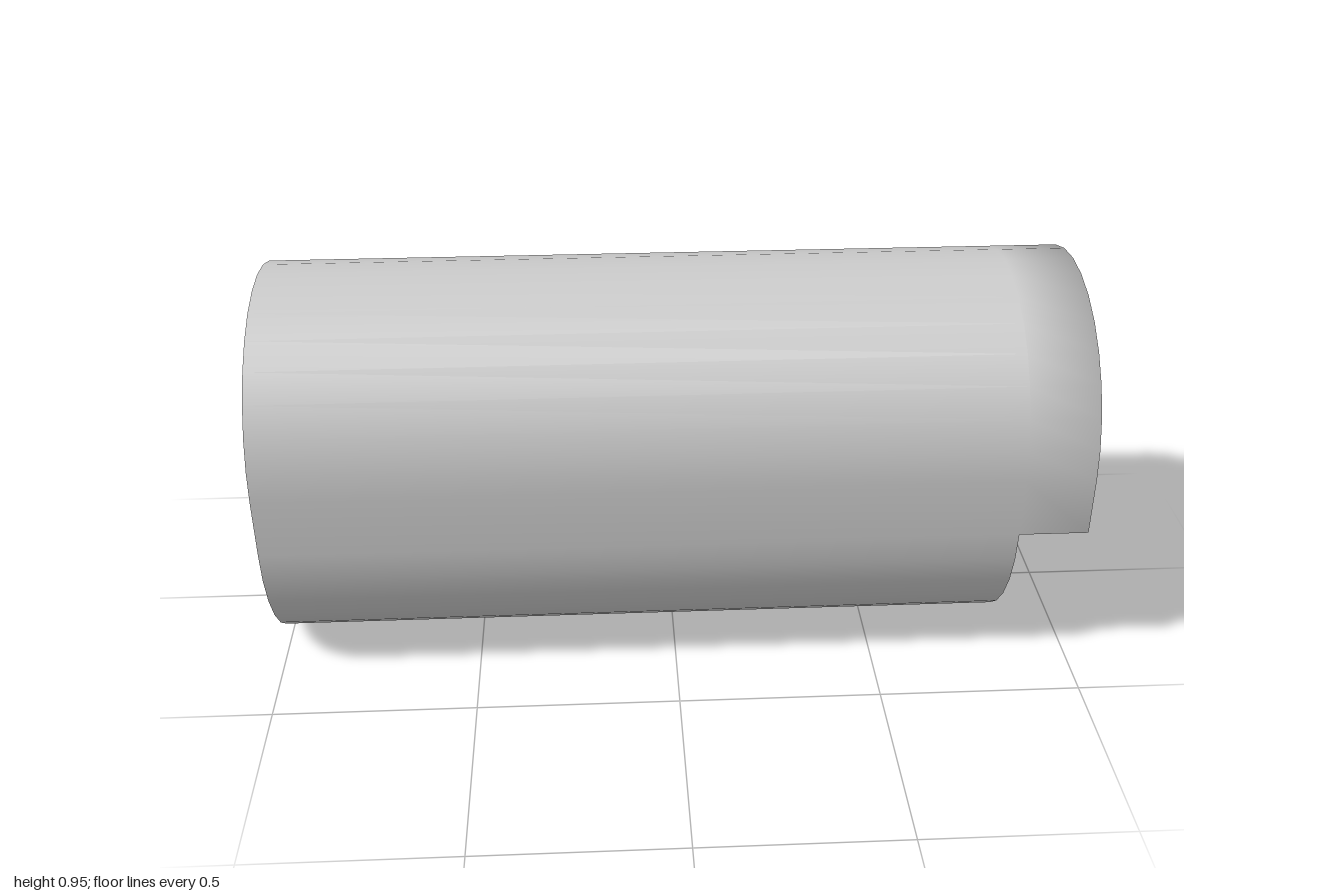
import * as THREE from 'three';
import { mergeVertices } from 'three/addons/utils/BufferGeometryUtils.js';

const LOW = 0.4, HIGH = 0.55, R = 0.4;      // centres and radius of the rounded section
const BACK = -1, LIP = 0.83, TIP = 1;       // positions along the length
const STEPS = 16;

// Columns around the section: lower half ends at the lip, upper half runs out to the hood tip
function makeColumns() {
  const columns = [];
  for (let i = 0; i <= STEPS; i++) columns.push({ a: Math.PI * (1 + i / STEPS), base: LOW, hood: false });
  columns.push({ a: 0, base: LOW, hood: true });
  for (let i = 0; i <= STEPS; i++) columns.push({ a: Math.PI * i / STEPS, base: HIGH, hood: true });
  columns.push({ a: Math.PI, base: LOW, hood: true });
  return columns;
}

const ringPoint = (x, a, r, base) => [x, base + r * Math.sin(a), -r * Math.cos(a)];

// Loops from the back, over the front rim, down into the pocket
function shellGeometry(columns) {
  const loops = [
    c => ringPoint(BACK, c.a, R, c.base),
    c => ringPoint(LIP, c.a, R, c.base),
    c => ringPoint(c.hood ? TIP : LIP, c.a, R, c.base),
    c => c.hood ? ringPoint(TIP, c.a, 0.395, LOW) : ringPoint(LIP, c.a, 0.35, LOW),
    c => ringPoint(LIP, c.a, 0.35, LOW),
    c => ringPoint(0.77, c.a, 0.26, LOW),
  ];
  const n = columns.length, positions = [], index = [];
  loops.forEach(loop => columns.forEach(c => positions.push(...loop(c))));
  for (let k = 0; k < loops.length - 1; k++) {
    for (let i = 0; i < n; i++) {
      const j = (i + 1) % n;
      const a = k * n + i, b = k * n + j, c = b + n, d = a + n;
      index.push(a, b, c, a, c, d);
    }
  }
  let geometry = new THREE.BufferGeometry();
  geometry.setAttribute('position', new THREE.Float32BufferAttribute(positions, 3));
  geometry.setIndex(index);
  geometry = mergeVertices(geometry, 1e-4);
  geometry.computeVertexNormals();
  return geometry;
}

export function createModel() {
  const group = new THREE.Group();
  const grey = new THREE.MeshStandardMaterial({ color: 0xcccccc });
  const red = new THREE.MeshStandardMaterial({ color: 0xff0000 });
  const add = (name, geometry, material) => {
    const mesh = new THREE.Mesh(geometry, material);
    mesh.name = name;
    group.add(mesh);
    return mesh;
  };

  // Housing with its hood and conical pocket
  const columns = makeColumns();
  add('hoodedHousing', shellGeometry(columns), grey);

  // Flat back wall
  const outline = columns.filter(c => !(c.hood && c.base === LOW)).map(c => {
    const [, y, z] = ringPoint(0, c.a, R, c.base);
    return new THREE.Vector2(z, y);
  });
  const wall = new THREE.ShapeGeometry(new THREE.Shape(outline));
  wall.rotateY(-Math.PI / 2);
  add('backWall', wall, grey).position.x = BACK;

  // Red lens at the bottom of the pocket
  const profile = [[0.265, 0], [0.265, 0.1], [0, 0.1]].map(p => new THREE.Vector2(...p));
  const lens = new THREE.LatheGeometry(profile, 32);
  lens.rotateZ(-Math.PI / 2);
  add('lens', lens, red).position.set(0.675, LOW, 0);

  group.position.y = 0;
  return group;
}
